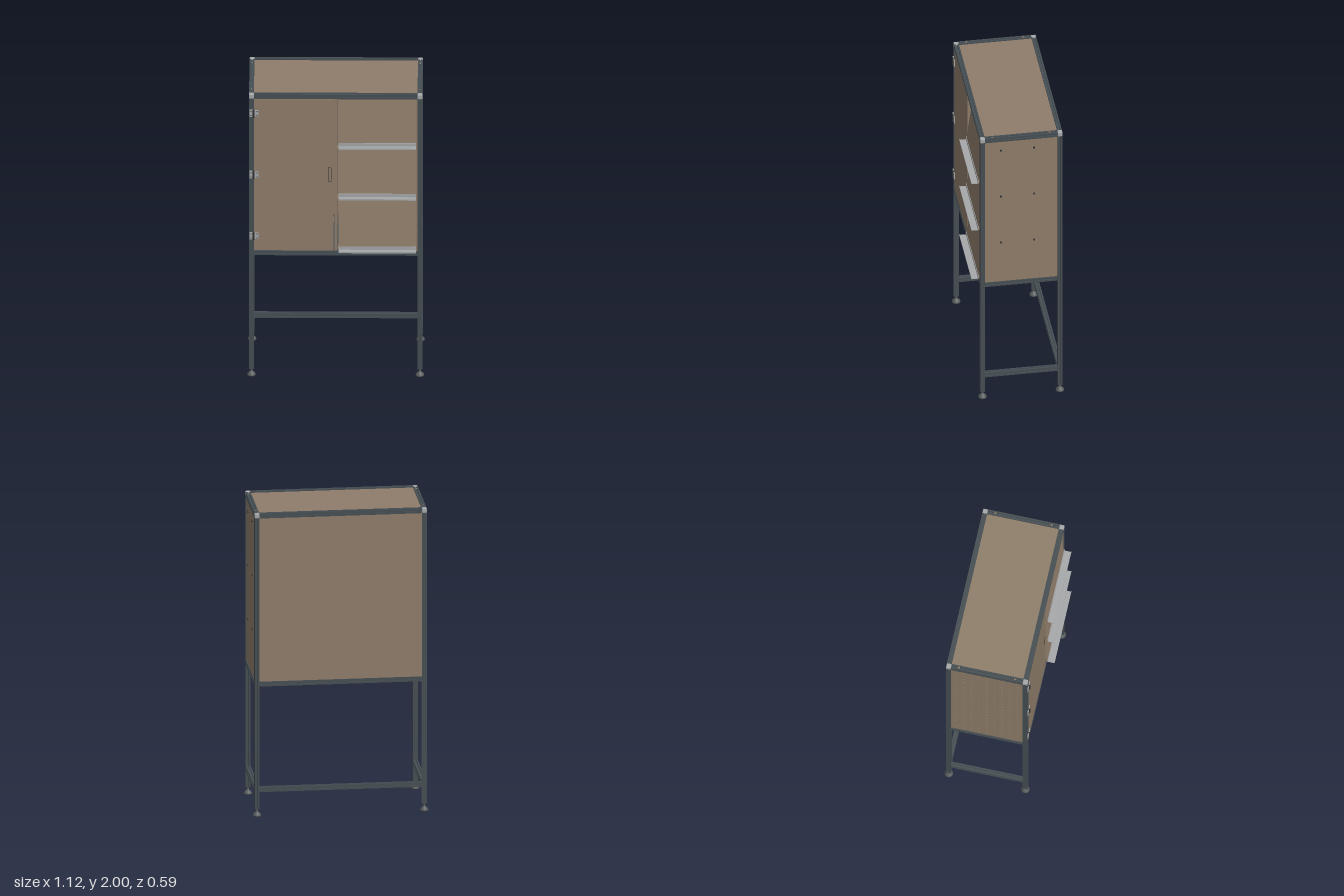
import * as THREE from 'three';
import { RoundedBoxGeometry } from 'three/addons/geometries/RoundedBoxGeometry.js';

const mat = (name, color, side = THREE.FrontSide) => {
  const m = new THREE.MeshStandardMaterial({ color, side });
  m.name = name;
  return m;
};

export function createModel() {
  const root = new THREE.Group();
  root.name = 'displayCabinet';
  const frameMat = mat('darkAluminium', 0x454e53);
  const woodMat = mat('brownBoard', 0x8f7d6a);
  const greyMat = mat('lightGreyMetal', 0xa6a8a9);
  const footMat = mat('footGrey', 0x55595a);
  const darkMat = mat('darkFittings', 0x2f3234);

  const X = 0.534, ZB = -0.272, ZF = 0.225, S = 0.031;
  const ZM = (ZB + ZF) / 2, DEPTH = ZF - ZB;
  const TOP = 2 - S / 2, MID = 0.873, LOW = 0.175;

  const add = (name, geo, material, x = 0, y = 0, z = 0, parent = root) => {
    const m = new THREE.Mesh(geo, material);
    m.name = name;
    m.position.set(x, y, z);
    parent.add(m);
    return m;
  };
  const box = (name, w, h, d, material, x, y, z, parent) =>
    add(name, new THREE.BoxGeometry(w, h, d), material, x, y, z, parent);

  // Square bar section with a slot along each side
  const section = new THREE.Shape();
  const h = S / 2, g = 0.0042, d = 0.007;
  const side = [[-h, -h], [-g, -h], [-g, -h + d], [g, -h + d], [g, -h]];
  const pts = [];
  for (let i = 0; i < 4; i++) {
    const c = Math.round(Math.cos(i * Math.PI / 2)), s = Math.round(Math.sin(i * Math.PI / 2));
    side.forEach(([x, y]) => pts.push(new THREE.Vector2(x * c - y * s, x * s + y * c)));
  }
  section.setFromPoints(pts);

  // Slotted bar of a given length, centred at a point, along an axis
  const bar = (name, axis, length, x, y, z) => {
    const geo = new THREE.ExtrudeGeometry(section, { depth: length, bevelEnabled: false });
    geo.translate(0, 0, -length / 2);
    if (axis === 'x') geo.rotateY(Math.PI / 2);
    if (axis === 'y') geo.rotateX(-Math.PI / 2);
    return add(name, geo, frameMat, x, y, z);
  };

  // Posts, corner blocks and levelling feet
  const footProfile = [[0, 0], [0.027, 0], [0.027, 0.006], [0.022, 0.016], [0.012, 0.024],
    [0.008, 0.03], [0.006, 0.031], [0.006, 0.05]].map(p => new THREE.Vector2(...p));
  for (const x of [-X, X]) for (const z of [ZB, ZF]) {
    bar('post', 'y', 2 - S - 0.048, x, (2 - S + 0.048) / 2, z);
    add('cornerBlock', new RoundedBoxGeometry(S, S, S, 2, 0.004), greyMat, x, TOP, z);
    add('foot', new THREE.LatheGeometry(footProfile, 24), footMat, x, 0, z);
  }

  // Rails around the top and the cabinet floor, and the open-fronted base
  const railX = 2 * X - S, railZ = DEPTH - S;
  for (const y of [TOP, MID]) for (const z of [ZB, ZF]) bar('longRail', 'x', railX, 0, y, z);
  bar('baseBackRail', 'x', railX, 0, LOW, ZB);
  for (const y of [TOP, MID, LOW]) for (const x of [-X, X]) bar('sideRail', 'z', railZ, x, y, ZM);
  bar('floorRail', 'z', railZ, 0, MID, ZM);

  // Access plugs on the upper side rails
  for (const x of [-X, X]) for (const z of [-0.207, 0.16]) {
    const rim = add('plugRim', new THREE.CylinderGeometry(0.009, 0.009, 0.002, 16), darkMat, x, 2, z);
    const plug = add('plug', new THREE.CylinderGeometry(0.007, 0.007, 0.003, 16), woodMat, x, 2, z);
    rim.position.y = plug.position.y = 1.9985;
    rim.scale.z = plug.scale.z = 1.25;
  }

  // Fixed panels
  const y0 = MID + h, y1 = 2 - S, H = y1 - y0, YM = (y0 + y1) / 2;
  box('topPanel', railX, 0.01, railZ, woodMat, 0, 1.988, ZM);
  box('floorPanel', railX, 0.01, railZ, woodMat, 0, MID + 0.004, ZM);
  box('backPanel', railX, H, 0.01, woodMat, 0, YM, ZB - 0.004);
  box('rightSidePanel', 0.01, H, railZ, woodMat, X + 0.004, YM, ZM);

  // Perforated side panel
  const sheet = new THREE.Shape([[-railZ / 2, -H / 2], [railZ / 2, -H / 2], [railZ / 2, H / 2],
    [-railZ / 2, H / 2]].map(p => new THREE.Vector2(...p)));
  const COLS = 9, ROWS = 20;
  for (let i = 0; i < COLS; i++) for (let j = 0; j < ROWS; j++) {
    const hole = new THREE.Path();
    hole.absarc((i - (COLS - 1) / 2) * 0.05, (j - (ROWS - 1) / 2) * 0.053, 0.005, 0, Math.PI * 2, true);
    sheet.holes.push(hole);
  }
  const pegGeo = new THREE.ExtrudeGeometry(sheet, { depth: 0.01, bevelEnabled: false, curveSegments: 4 });
  pegGeo.rotateY(-Math.PI / 2);
  add('perforatedPanel', pegGeo, woodMat, -X + 0.001, YM, ZM);

  // Bolts on the plain side panel
  for (const y of [1.9, 1.545, 1.19]) for (const z of [0.108, -0.105]) {
    const bolt = add('sideBolt', new THREE.CylinderGeometry(0.006, 0.006, 0.009, 12), darkMat, X + 0.0125, y, z);
    bolt.rotation.z = Math.PI / 2;
  }

  // Door with an oval pull
  const door = new THREE.Group();
  door.name = 'door';
  root.add(door);
  box('doorPanel', 0.505, H - 0.008, 0.014, woodMat, -0.265, YM, 0.232, door);
  const oval = (name, r, material, z) => {
    const m = add(name, new THREE.CapsuleGeometry(r, 0.082, 6, 16), material, -0.037, 1.433, z, door);
    m.scale.z = 0.15;
  };
  oval('pullRim', 0.0125, darkMat, 0.239);
  oval('pullFace', 0.0105, woodMat, 0.2396);

  // Hinges
  for (const y of [1.868, 1.432, 0.997]) {
    const hinge = new THREE.Group();
    hinge.name = 'hinge';
    hinge.position.set(-0.52, y, 0.243);
    root.add(hinge);
    box('postLeaf', 0.024, 0.052, 0.006, greyMat, -0.015, 0, 0, hinge);
    box('doorLeaf', 0.03, 0.042, 0.006, greyMat, 0.016, 0, 0, hinge);
    add('hingePin', new THREE.CylinderGeometry(0.006, 0.006, 0.054, 12), darkMat, 0, 0, 0.005, hinge);
    for (const sx of [-0.017, 0.021]) for (const sy of [-0.014, 0.014]) {
      const screw = add('hingeScrew', new THREE.CylinderGeometry(0.004, 0.004, 0.003, 10), darkMat, sx, sy, 0.004, hinge);
      screw.rotation.x = Math.PI / 2;
    }
  }

  // Upright boards and cross boards around the display bays
  box('centreBoard', 0.016, H, railZ + 0.025, woodMat, 0.002, YM, ZM + 0.0125);
  box('endBoard', 0.008, H, 0.04, woodMat, 0.515, YM, 0.219);
  for (const y of [1.617, 1.264]) box('crossBoard', 0.502, 0.016, 0.04, woodMat, 0.261, y, 0.218);

  // Sloping display boards, each with a grey ledge at its foot
  for (const [bottom, top] of [[0.9, 1.252], [1.275, 1.605], [1.635, 1.964]]) {
    const bay = new THREE.Group();
    bay.name = 'displayBay';
    root.add(bay);
    const board = new THREE.BoxGeometry(0.494, top - bottom, 0.012);
    const p = board.attributes.position;
    for (let i = 0; i < p.count; i++) p.setZ(i, p.getZ(i) + (p.getY(i) > 0 ? -0.023 : 0.023));
    board.computeVertexNormals();
    add('slopingBoard', board, woodMat, 0.264, (bottom + top) / 2, 0.22, bay);
    box('ledgePlate', 0.494, 0.003, 0.046, greyMat, 0.264, bottom + 0.002, 0.27, bay);
    box('ledgeLip', 0.494, 0.01, 0.003, greyMat, 0.264, bottom + 0.0055, 0.2915, bay);
    box('ledgeBack', 0.494, 0.026, 0.003, greyMat, 0.264, bottom + 0.0135, 0.2485, bay);
  }
  return root;
}
